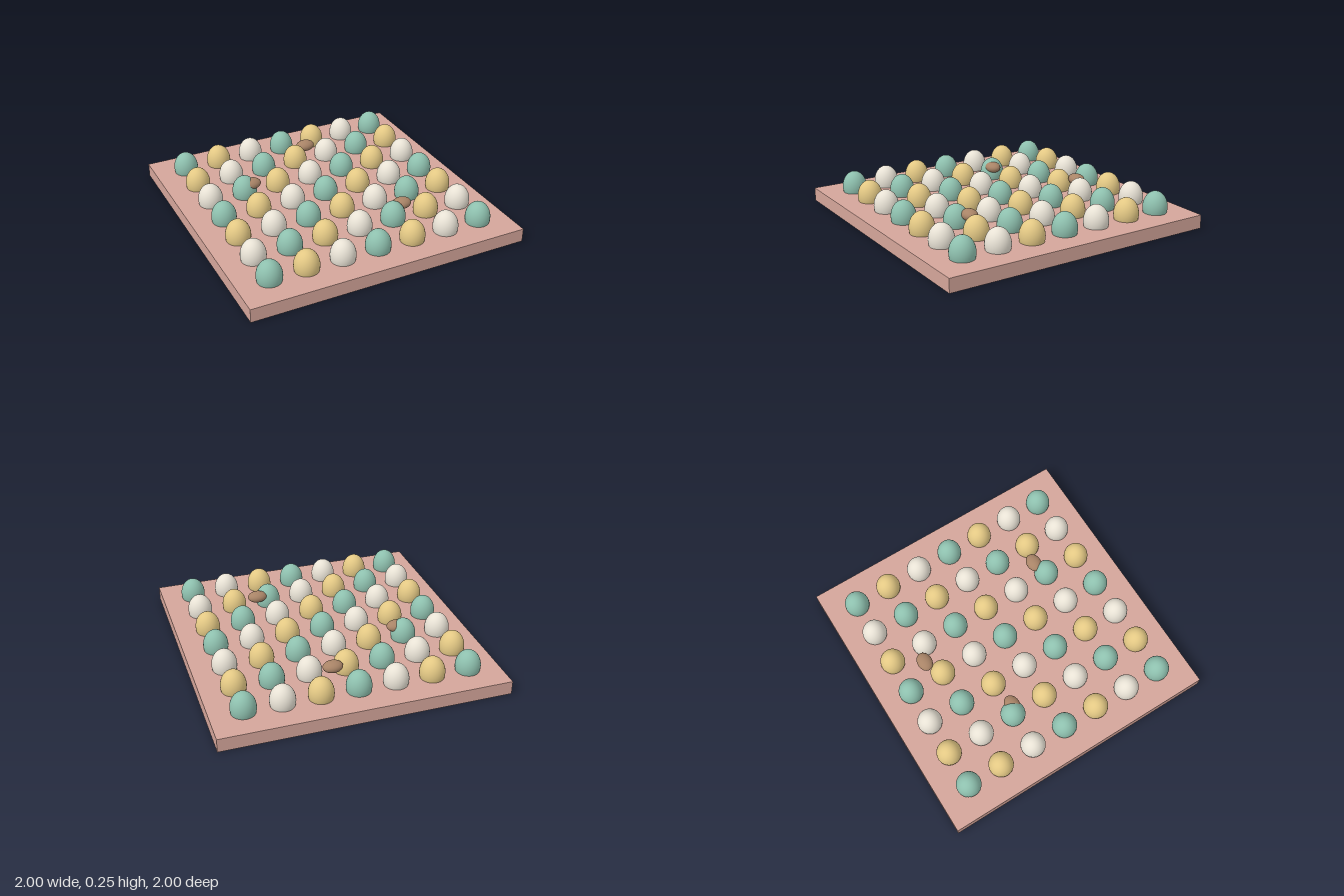
import * as THREE from 'three';

const paint = (color) => new THREE.MeshStandardMaterial({ color });

export function createModel() {
  const model = new THREE.Group();
  model.name = 'eggBoard';

  // Flat square base
  const slabHeight = 0.097;
  const slab = new THREE.Mesh(new THREE.BoxGeometry(2, slabHeight, 2), paint(0xd4a59a));
  slab.name = 'baseSlab';
  slab.position.y = slabHeight / 2;
  model.add(slab);

  const ball = new THREE.SphereGeometry(1, 32, 20);
  const addEllipsoid = (name, material, position, radii) => {
    const mesh = new THREE.Mesh(ball, material);
    mesh.name = name;
    mesh.position.set(...position);
    mesh.scale.set(...radii);
    model.add(mesh);
  };

  // Seven by seven eggs half sunk in the base, colours running along the diagonals
  const eggPaints = [paint(0x8ec0ae), paint(0xe3c884), paint(0xe8e2d5)];
  const count = 7, pitch = 0.2585;
  for (let row = 0; row < count; row++) {
    for (let col = 0; col < count; col++) {
      const x = (col - 3) * pitch, z = (row - 3) * pitch;
      addEllipsoid(`egg_${row}_${col}`, eggPaints[(row + col) % 3], [x, 0.135, z], [0.087, 0.113, 0.087]);
    }
  }

  // Three brown pebbles resting among the eggs
  const brown = paint(0xa98467);
  [[0.118, -0.591], [-0.472, -0.237], [0.352, 0.468]].forEach(([x, z], i) =>
    addEllipsoid(`pebble_${i}`, brown, [x, 0.19, z], [0.07, 0.04, 0.053]));

  return model;
}
